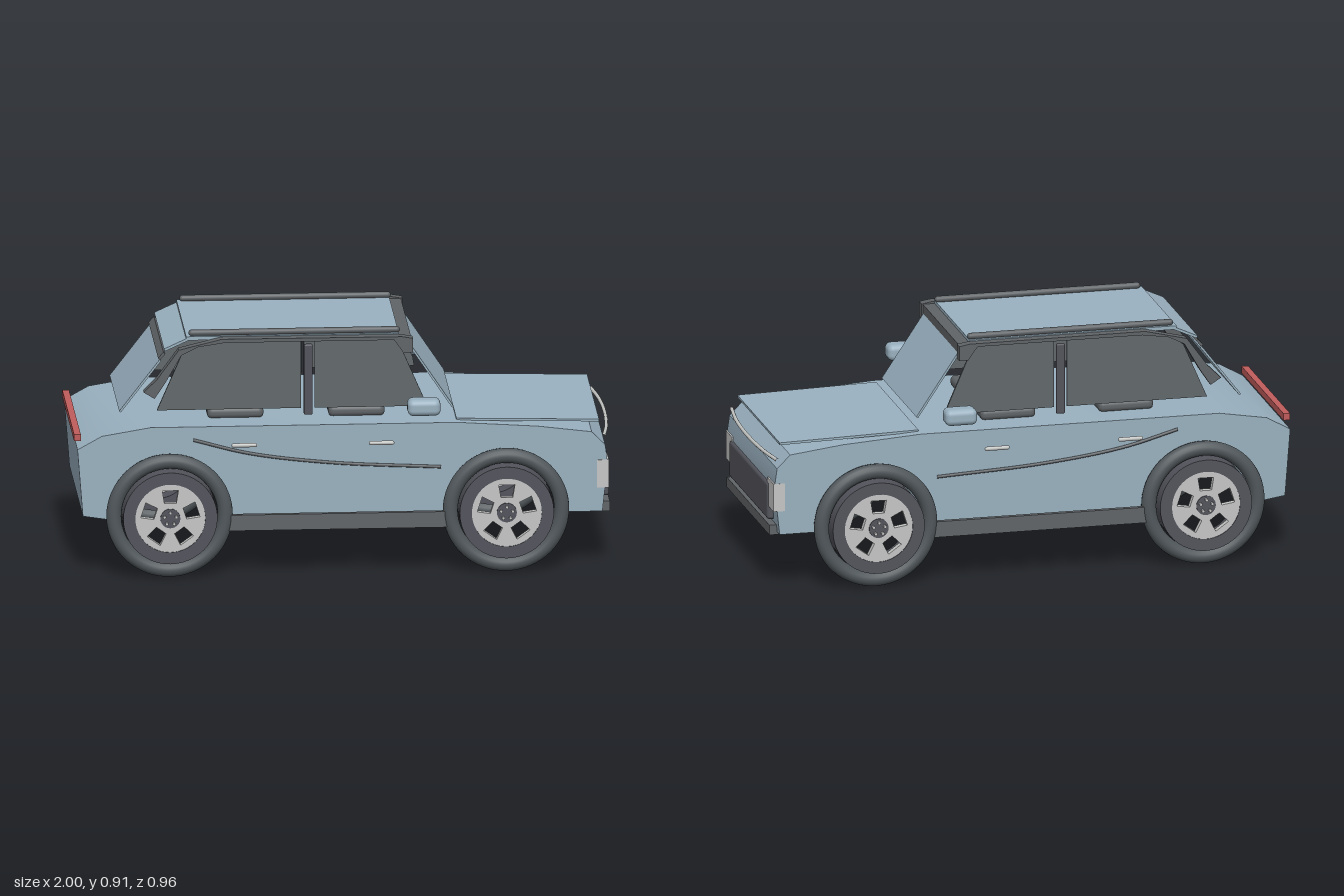
import * as THREE from 'three';
import { RoundedBoxGeometry } from 'three/addons/geometries/RoundedBoxGeometry.js';
import { toCreasedNormals } from 'three/addons/utils/BufferGeometryUtils.js';

const mat = (name, color) => new THREE.MeshStandardMaterial({ name, color });

export function createModel() {
  const paint = mat('body paint', 0x9ab1c0);
  const glass = mat('dark glass', 0x62686b);
  const trim = mat('dark trim', 0x606467);
  const rubber = mat('tyre rubber', 0x50575b);
  const dark = mat('charcoal', 0x53545c);
  const silver = mat('silver', 0xc4c6c4);
  const red = mat('tail light red', 0xc05c5c);

  const car = new THREE.Group();
  car.name = 'car';

  const add = (name, geometry, material, parent = car) => {
    const mesh = new THREE.Mesh(geometry, material);
    mesh.name = name;
    parent.add(mesh);
    return mesh;
  };
  // Box given by its limits; r rounds the edges
  const box = (name, m, [x0, x1], [y0, y1], [z0, z1], r = 0) => {
    const s = [x1 - x0, y1 - y0, z1 - z0];
    const g = r ? new RoundedBoxGeometry(...s, 4, r) : new THREE.BoxGeometry(...s);
    g.translate((x0 + x1) / 2, (y0 + y1) / 2, (z0 + z1) / 2);
    return add(name, g, m);
  };
  const polygon = (pts) => new THREE.Shape(pts.map((p) => new THREE.Vector2(...p)));
  // Side profile extruded between two z values
  const slab = (name, m, shape, z0, z1) => {
    const g = new THREE.ExtrudeGeometry(shape, { depth: z1 - z0, bevelEnabled: false, curveSegments: 32 });
    g.translate(0, 0, z0);
    return add(name, toCreasedNormals(g, 0.5), m);
  };
  // Thin sheet that follows a line in the side profile
  const sheet = (name, m, [x0, y0], [x1, y1], halfWidth, t = 0.008) => {
    const g = new THREE.BoxGeometry(Math.hypot(x1 - x0, y1 - y0), t, halfWidth * 2);
    g.rotateZ(Math.atan2(y1 - y0, x1 - x0));
    g.translate((x0 + x1) / 2, (y0 + y1) / 2, 0);
    return add(name, g, m);
  };
  const tube = (name, m, pts, r) => add(name, new THREE.TubeGeometry(
    new THREE.CatmullRomCurve3(pts.map((p) => new THREE.Vector3(...p))), 24, r, 10), m);
  const rod = (name, m, x0, x1, y, z, r) => {
    const g = new THREE.CapsuleGeometry(r, x1 - x0 - 2 * r, 6, 12);
    g.rotateZ(Math.PI / 2);
    g.translate((x0 + x1) / 2, y, z);
    return add(name, g, m);
  };

  const axles = [-0.65, 0.6];
  const wheelY = 0.235;

  // Lower body with wheel arches cut across its full width
  const body = new THREE.Shape();
  const archR = 0.225;
  body.moveTo(-0.97, 0.23);
  for (const x of axles) {
    const a = Math.asin((0.215 - wheelY) / archR);
    body.lineTo(x - archR * Math.cos(a), 0.215);
    body.absarc(x, wheelY, archR, Math.PI - a, a, true);
  }
  [[0.96, 0.215], [0.98, 0.4], [0.97, 0.47], [0.92, 0.52], [0.72, 0.545], [0.42, 0.565],
    [-0.72, 0.565], [-0.9, 0.535], [-0.99, 0.485]].forEach((p) => body.lineTo(...p));
  slab('lowerBody', paint, body, -0.365, 0.365);

  // Bonnet lid, lifted at the nose
  sheet('bonnet', paint, [0.42, 0.566], [0.95, 0.553], 0.325, 0.009);

  // Roof and its sloped rear edge, screens
  box('roof', paint, [-0.58, 0.21], [0.872, 0.886], [-0.27, 0.27]);
  sheet('roofRearEdge', paint, [-0.66, 0.835], [-0.57, 0.876], 0.265, 0.01);
  sheet('rearHeader', trim, [-0.68, 0.8], [-0.66, 0.822], 0.26, 0.01);
  sheet('windscreen', paint, [0.41, 0.6], [0.25, 0.84], 0.265);
  sheet('rearScreen', paint, [-0.825, 0.6], [-0.675, 0.795], 0.26);
  box('windscreenHeader', trim, [0.2, 0.255], [0.828, 0.874], [-0.275, 0.275]);

  const rearWindow = [[-0.69, 0.612], [-0.155, 0.612], [-0.155, 0.88], [-0.42, 0.88], [-0.55, 0.855], [-0.6, 0.82]];
  const frontWindow = [[-0.105, 0.612], [0.305, 0.612], [0.3, 0.645], [0.22, 0.83], [0.18, 0.88], [-0.105, 0.88]];
  const frame = [[-0.74, 0.685], [-0.7, 0.66], [-0.66, 0.72], [-0.6, 0.825], [-0.54, 0.855], [-0.44, 0.87],
    [0.19, 0.87], [0.225, 0.82], [0.26, 0.82], [0.26, 0.875], [0.22, 0.882], [-0.45, 0.884], [-0.61, 0.845], [-0.69, 0.735]];

  for (const s of [1, -1]) {
    const side = s > 0 ? 'left' : 'right';
    const span = (a, b) => (s > 0 ? [a, b] : [-b, -a]);
    // Cabin sides
    slab(side + 'RearWindow', glass, polygon(rearWindow), ...span(0.285, 0.294));
    slab(side + 'FrontWindow', glass, polygon(frontWindow), ...span(0.285, 0.294));
    slab(side + 'WindowFrame', trim, polygon(frame), ...span(0.271, 0.308));
    box(side + 'DoorPillar', dark, [-0.145, -0.112], [0.588, 0.858], span(0.29, 0.308), 0.006);
    rod(side + 'RoofRail', trim, -0.57, 0.215, 0.896, s * 0.25, 0.012);
    // Door details
    box(side + 'Mirror', paint, [0.23, 0.352], [0.618, 0.68], span(0.405, 0.481), 0.022);
    for (const x of [-0.42, 0.09]) rod(side + 'DoorHandle', silver, x, x + 0.095, 0.5, s * 0.397, 0.008);
    tube(side + 'SideCrease', trim, [[-0.56, 0.515, s * 0.366], [-0.35, 0.46, s * 0.366],
      [-0.05, 0.42, s * 0.366], [0.36, 0.396, s * 0.366]], 0.006);
    box(side + 'Sill', trim, [-0.43, 0.39], [0.175, 0.235], span(0.388, 0.408));
    // Headlights
    box(side + 'Headlight', silver, [0.94, 0.984], [0.305, 0.412], span(0.27, 0.366));
    // Seat cushions
    for (const x of [-0.5, -0.05]) box(side + 'Seat', trim, [x, x + 0.21], [0.56, 0.605], span(0.048, 0.246), 0.02);
  }

  // Nose and tail details
  box('grille', dark, [0.95, 0.99], [0.254, 0.396], [-0.294, 0.294], 0.012);
  box('lowerBumper', trim, [0.955, 0.99], [0.205, 0.243], [-0.327, 0.327]);
  tube('noseStrip', silver, [[0.965, 0.498, 0.352], [0.985, 0.498, 0.2], [0.993, 0.498, 0],
    [0.985, 0.498, -0.2], [0.965, 0.498, -0.352]], 0.007);
  box('tailLight', red, [-1, -0.975], [0.507, 0.533], [-0.322, 0.322]);

  // Wheels, built facing +z around their own centre
  const rimShape = new THREE.Shape().absarc(0, 0, 0.131, 0, Math.PI * 2);
  for (let i = 0; i < 5; i++) {
    const a = (i * Math.PI * 2) / 5;
    const hole = [[-0.022, 0.057], [0.022, 0.057], [0.03, 0.106], [-0.03, 0.106]].map(([x, y]) =>
      new THREE.Vector2(x * Math.cos(a) - y * Math.sin(a), x * Math.sin(a) + y * Math.cos(a)));
    rimShape.holes.push(new THREE.Path(hole));
  }
  const rimGeo = new THREE.ExtrudeGeometry(rimShape, { depth: 0.025, bevelEnabled: false, curveSegments: 48 });
  rimGeo.translate(0, 0, 0.022);
  const drumGeo = toCreasedNormals(new THREE.LatheGeometry([[0.13, -0.053], [0.175, -0.053], [0.175, 0.05],
    [0.13, 0.05], [0.13, -0.053]].map((p) => new THREE.Vector2(...p)), 48).rotateX(Math.PI / 2), 0.5);
  const tyreGeo = new THREE.TorusGeometry(0.207, 0.028, 16, 64);
  const hubGeo = new THREE.CylinderGeometry(0.037, 0.037, 0.03, 24).rotateX(Math.PI / 2).translate(0, 0, 0.036);
  const lugGeo = new THREE.CylinderGeometry(0.006, 0.006, 0.02, 8).rotateX(Math.PI / 2);

  axles.forEach((x, n) => {
    for (const s of [1, -1]) {
      const wheel = new THREE.Group();
      wheel.name = (n ? 'front' : 'rear') + (s > 0 ? 'Left' : 'Right') + 'Wheel';
      wheel.position.set(x, wheelY, s * 0.39);
      if (s < 0) wheel.rotation.y = Math.PI;
      add('tyre', tyreGeo, rubber, wheel);
      add('wheelDrum', drumGeo, dark, wheel);
      add('rim', toCreasedNormals(rimGeo, 0.5), silver, wheel);
      add('hub', hubGeo, dark, wheel);
      for (let i = 0; i < 5; i++) {
        const a = Math.PI / 2 + (i * Math.PI * 2) / 5;
        add('wheelNut', lugGeo, silver, wheel).position.set(0.023 * Math.cos(a), 0.023 * Math.sin(a), 0.052);
      }
      car.add(wheel);
    }
  });
  return car;
}
